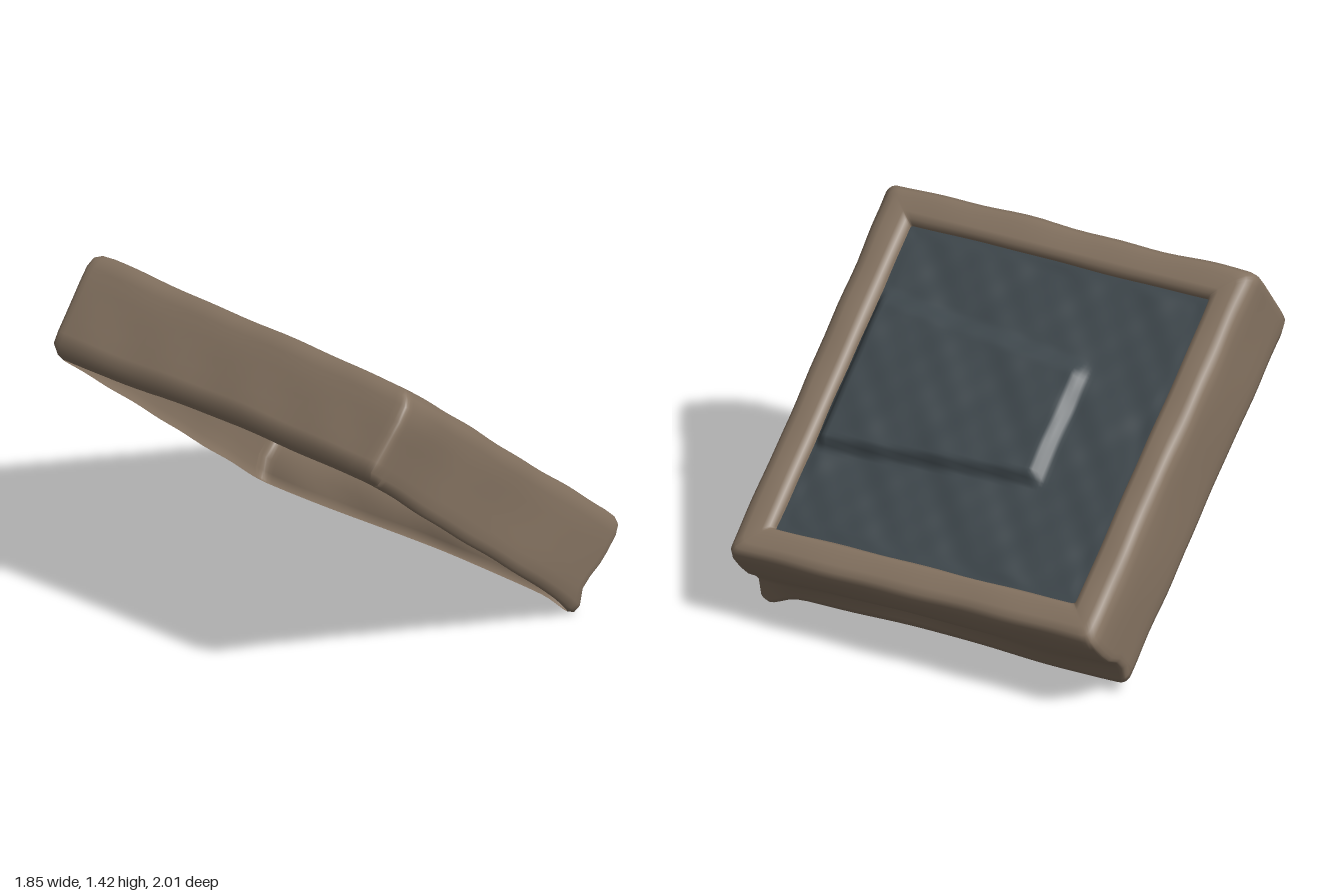
import * as THREE from 'three';

const HALF = 0.69;   // half width of the recessed panel
const step = THREE.MathUtils.smoothstep;

// Gentle lumps, a smooth function of position
const lump = (x, y, z) =>
  Math.sin(7 * x + 3 * y + 1) * Math.sin(6 * z - 5 * y) * 0.6 +
  Math.sin(17 * x + 11 * y) * Math.sin(15 * z + 9 * y + 2) * 0.4;

// Point on a rounded square; side 0 is +z, then +x, -z, -x
function squarePoint(side, s, h, r) {
  let x = s * h, z = h;
  const core = h - r;
  const cx = THREE.MathUtils.clamp(x, -core, core);
  const dx = x - cx, len = Math.hypot(dx, r);
  x = cx + dx * r / len;
  z = core + r * r / len;
  for (let k = 0; k < side; k++) [x, z] = [z, -x];
  return [x, z];
}

// Surrounding frame: a wall section swept around the square, open below
function frameGeometry() {
  const section = [
    [0.688, -0.065], [0.691, -0.03], [0.705, -0.008], [0.73, 0], [0.79, 0],
    [0.82, -0.007], [0.84, -0.028], [0.848, -0.07], [0.848, -0.14], [0.846, -0.2],
    [0.844, -0.26], [0.842, -0.32], [0.838, -0.365], [0.828, -0.395], [0.81, -0.405],
  ];
  const n = 36, cols = n * 4, pos = [], index = [];
  for (const [h, y0] of section) {
    for (let side = 0; side < 4; side++) {
      for (let i = 0; i < n; i++) {
        // Cosine spacing gathers points at the corners
        const s = -Math.cos((i / n) * Math.PI);
        let [x, z] = squarePoint(side, s, h, h > 0.75 ? 0.035 : 0.012);
        let y = y0;
        const wob = lump(x, y, z);
        // Ragged inner border, lumpy outer walls
        const rough = h < 0.7 ? 0.008 : 0.008 * step(h, 0.72, 0.82);
        x *= 1 + rough * wob;
        z *= 1 + rough * lump(z, x, y);
        y += 0.004 * wob;
        // Sunken lower wall on the low side
        if (x > 0.78) x -= 0.065 * Math.exp(-(((y0 + 0.3) / 0.075) ** 2)) * (0.75 + 0.25 * Math.sin(5 * z + 1));
        // Swollen upper front corner
        z += 0.03 * step(z, 0.75, 0.84) * step(-x, 0.3, 0.8) * step(-y0, 0, 0.1);
        // Deeper skirt along the back
        y -= 0.035 * step(-z, -0.2, 0.75) * step(-y0, 0.1, 0.39);
        // Edge curling under on the high side
        if (x < -0.75) x += 0.04 * step(-y0, 0.37, 0.405);
        // Flared lip at the lowest corner
        const flare = Math.exp(-((x - 0.82) ** 2 + (z - 0.8) ** 2) / 0.006);
        if (y0 < -0.35) { x += 0.035 * flare; y -= 0.02 * flare; }
        pos.push(x, y, z);
      }
    }
  }
  for (let i = 0; i < section.length - 1; i++) {
    for (let j = 0; j < cols; j++) {
      const k = (j + 1) % cols;
      const a = i * cols + j, b = a + cols, c = i * cols + k, d = c + cols;
      index.push(a, b, c, b, d, c);
    }
  }
  const g = new THREE.BufferGeometry();
  g.setAttribute('position', new THREE.Float32BufferAttribute(pos, 3));
  g.setIndex(index);
  g.computeVertexNormals();
  return g;
}

// Rough panel with a raised slab running to the front edge
function panelGeometry() {
  const size = HALF * 2 + 0.03;
  const g = new THREE.PlaneGeometry(size, size, 80, 80).rotateX(-Math.PI / 2);
  const p = g.attributes.position;
  for (let i = 0; i < p.count; i++) {
    const x = p.getX(i), z = p.getZ(i);
    const low = 0.25 + 0.07 * z, high = -0.29 - 0.1 * z;
    const slab = step(x, high - 0.06, high + 0.03) * (1 - step(x, low - 0.02, low + 0.02))
      * step(z, -0.33, -0.27) * (1 - step(z, 0.65, 0.69));
    const rough = 0.008 * lump(x * 1.3, 0.3, z * 1.3) + 0.004 * lump(z * 2.3, 0.7, x * 2.1);
    p.setY(i, -0.04 + 0.04 * slab + rough * (1 - step(Math.max(Math.abs(x), Math.abs(z)), 0.64, 0.69)));
  }
  g.computeVertexNormals();
  return g;
}

export function createModel() {
  const brown = new THREE.MeshStandardMaterial({ color: 0x857361, side: THREE.DoubleSide });
  brown.name = 'earth brown';
  const slate = new THREE.MeshStandardMaterial({ color: 0x3f484d, side: THREE.DoubleSide });
  slate.name = 'slate';

  const tray = new THREE.Group();
  tray.name = 'tiltedTray';
  const add = (name, geometry, material) => {
    const mesh = new THREE.Mesh(geometry, material);
    mesh.name = name;
    tray.add(mesh);
  };
  add('frame', frameGeometry(), brown);
  add('panel', panelGeometry(), slate);

  // Lean the tray: x runs down the slope, y is the face normal
  const u = new THREE.Vector3(0.74, -0.642, -0.188).normalize();
  const v = new THREE.Vector3(0.223, -0.01, 0.976);
  const n = new THREE.Vector3().crossVectors(v, u).normalize();
  v.crossVectors(u, n);
  tray.quaternion.setFromRotationMatrix(new THREE.Matrix4().makeBasis(u, n, v));
  tray.position.set(0.118, 0.883, -0.025);

  const model = new THREE.Group();
  model.name = 'model';
  model.add(tray);
  return model;
}
